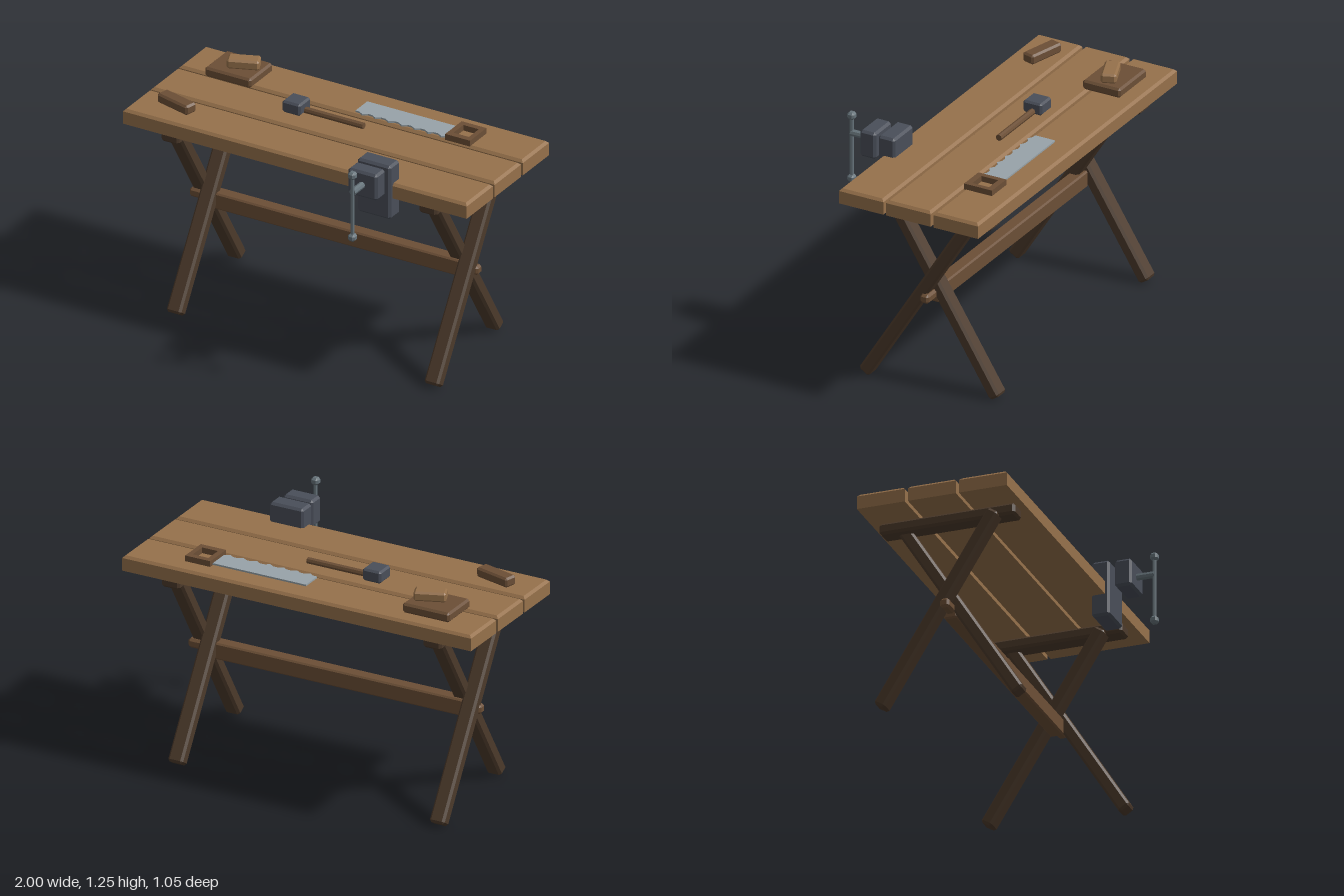
import * as THREE from 'three';
import { ConvexGeometry } from 'three/addons/geometries/ConvexGeometry.js';

export function createModel() {
  const bench = new THREE.Group();
  bench.name = 'workbench';

  const paint = (name, color) => {
    const m = new THREE.MeshStandardMaterial({ color, flatShading: true });
    m.name = name;
    return m;
  };
  const plankWood = paint('plank wood', 0x96714b);
  const midWood = paint('brown wood', 0x6c4f36);
  const darkWood = paint('dark wood', 0x4c3a2b);
  const iron = paint('dark iron', 0x494e59);
  const steel = paint('steel', 0x66737a);
  const bladeSteel = paint('blade steel', 0x98a3a9);

  const add = (name, geometry, material, x, y, z, parent = bench) => {
    const mesh = new THREE.Mesh(geometry, material);
    mesh.name = name;
    mesh.position.set(x, y, z);
    parent.add(mesh);
    return mesh;
  };

  // Box with every edge cut at 45 degrees; the bottom may be left square
  const chamferBox = (w, h, d, c = 0.01, squareBottom = false) => {
    const points = [];
    const [X, Y, Z] = [w / 2, h / 2, d / 2];
    for (const sx of [-1, 1]) for (const sy of [-1, 1]) for (const sz of [-1, 1]) {
      const p = (a, b, e) => points.push(new THREE.Vector3(sx * a, sy * b, sz * e));
      if (squareBottom && sy < 0) p(X, Y, Z);
      else if (squareBottom) {
        p(X - c, Y, Z - c);
        p(X, Y - c, Z);
      } else {
        p(X, Y - c, Z - c);
        p(X - c, Y, Z - c);
        p(X - c, Y - c, Z);
      }
    }
    return new ConvexGeometry(points);
  };

  // Three top planks
  for (const z of [-0.398, -0.125, 0.147]) {
    add('topPlank', chamferBox(2, 0.082, 0.256, 0.013, true), plankWood, 0, 1.069, z);
  }

  // Crossed legs and bearer at each end
  const legTop = 0.99, legBottom = 0.022, legMid = -0.12;
  const addLeg = (x, side) => {
    const a = new THREE.Vector3(0, legBottom, legMid + side * 0.355);
    const b = new THREE.Vector3(0, legTop, legMid - side * 0.25);
    const dir = b.clone().sub(a);
    const leg = add('leg', chamferBox(0.085, dir.length() + 0.012, 0.066, 0.012), darkWood,
      x, (a.y + b.y) / 2, (a.z + b.z) / 2);
    leg.rotation.x = Math.atan2(dir.z, dir.y);
  };
  for (const x of [-0.75, 0.75]) {
    addLeg(x + 0.033, 1);
    addLeg(x - 0.037, -1);
    add('bearer', chamferBox(0.105, 0.06, 0.725, 0.012), darkWood, x, 0.997, -0.122);
  }

  // Stretcher with a tenon through each end
  add('stretcher', chamferBox(1.5, 0.09, 0.074, 0.008), midWood, 0, 0.515, -0.122);
  for (const s of [-1, 1]) {
    add('tenon', chamferBox(0.12, 0.05, 0.05, 0.012), midWood, s * 0.78, 0.519, -0.122);
  }

  // Front vise
  const vise = new THREE.Group();
  vise.name = 'vise';
  vise.position.x = 0.472;
  bench.add(vise);
  add('rearJaw', chamferBox(0.194, 0.3, 0.096, 0.012), iron, 0, 1.063, 0.25, vise);
  add('frontJaw', chamferBox(0.17, 0.146, 0.09, 0.012), iron, 0, 1.138, 0.365, vise);
  add('viseScrew', new THREE.CylinderGeometry(0.018, 0.018, 0.21, 8), steel, 0, 1.138, 0.4, vise)
    .rotation.x = Math.PI / 2;
  add('viseLever', new THREE.CylinderGeometry(0.011, 0.011, 0.33, 8), steel, 0, 1.06, 0.503, vise);
  for (const y of [0.886, 1.234]) {
    add('leverKnob', chamferBox(0.042, 0.04, 0.042, 0.011), steel, 0, y, 0.503, vise);
  }

  // Mallet
  add('malletHead', chamferBox(0.106, 0.066, 0.108, 0.01), iron, -0.247, 1.146, -0.152);
  add('malletHandle', new THREE.CylinderGeometry(0.017, 0.017, 0.345, 8), midWood, -0.028, 1.129, -0.155)
    .rotation.z = Math.PI / 2;

  // Stacked blocks and a loose offcut
  add('lowerBlock', chamferBox(0.27, 0.053, 0.218, 0.011), midWood, -0.695, 1.139, -0.34);
  add('upperBlock', chamferBox(0.165, 0.052, 0.08, 0.01), plankWood, -0.662, 1.191, -0.337)
    .rotation.y = 0.375;
  add('offcut', chamferBox(0.212, 0.053, 0.073, 0.01), midWood, -0.778, 1.139, 0.123)
    .rotation.y = -0.257;

  // Saw: drawn flat with shape y pointing to the back, then laid down
  const saw = new THREE.Group();
  saw.name = 'handSaw';
  bench.add(saw);
  const blade = new THREE.Shape();
  blade.moveTo(0.56, 0.405);
  blade.lineTo(0.015, 0.405);
  blade.lineTo(0.015, 0.29);
  const teeth = 7, pitch = 0.0765;
  for (let i = 0; i < teeth; i++) {
    const x = 0.015 + i * pitch;
    blade.lineTo(x + pitch * 0.3, 0.29);
    blade.lineTo(x + pitch * 0.62, 0.274);
    blade.lineTo(x + pitch * 0.95, 0.29);
  }
  blade.lineTo(0.56, 0.29);
  const lay = (name, shape, depth, material, y) => {
    const g = new THREE.ExtrudeGeometry(shape, { depth, bevelEnabled: false });
    g.rotateX(-Math.PI / 2);
    add(name, g, material, 0, y, 0, saw);
  };
  lay('sawBlade', blade, 0.009, bladeSteel, 1.112);

  const rect = (P, x0, y0, x1, y1) => new P().moveTo(x0, y0).lineTo(x1, y0).lineTo(x1, y1).lineTo(x0, y1).closePath();
  const handle = rect(THREE.Shape, 0.549, 0.27, 0.693, 0.43);
  handle.holes.push(rect(THREE.Path, 0.577, 0.303, 0.667, 0.399));
  lay('sawHandle', handle, 0.033, midWood, 1.108);

  return bench;
}
